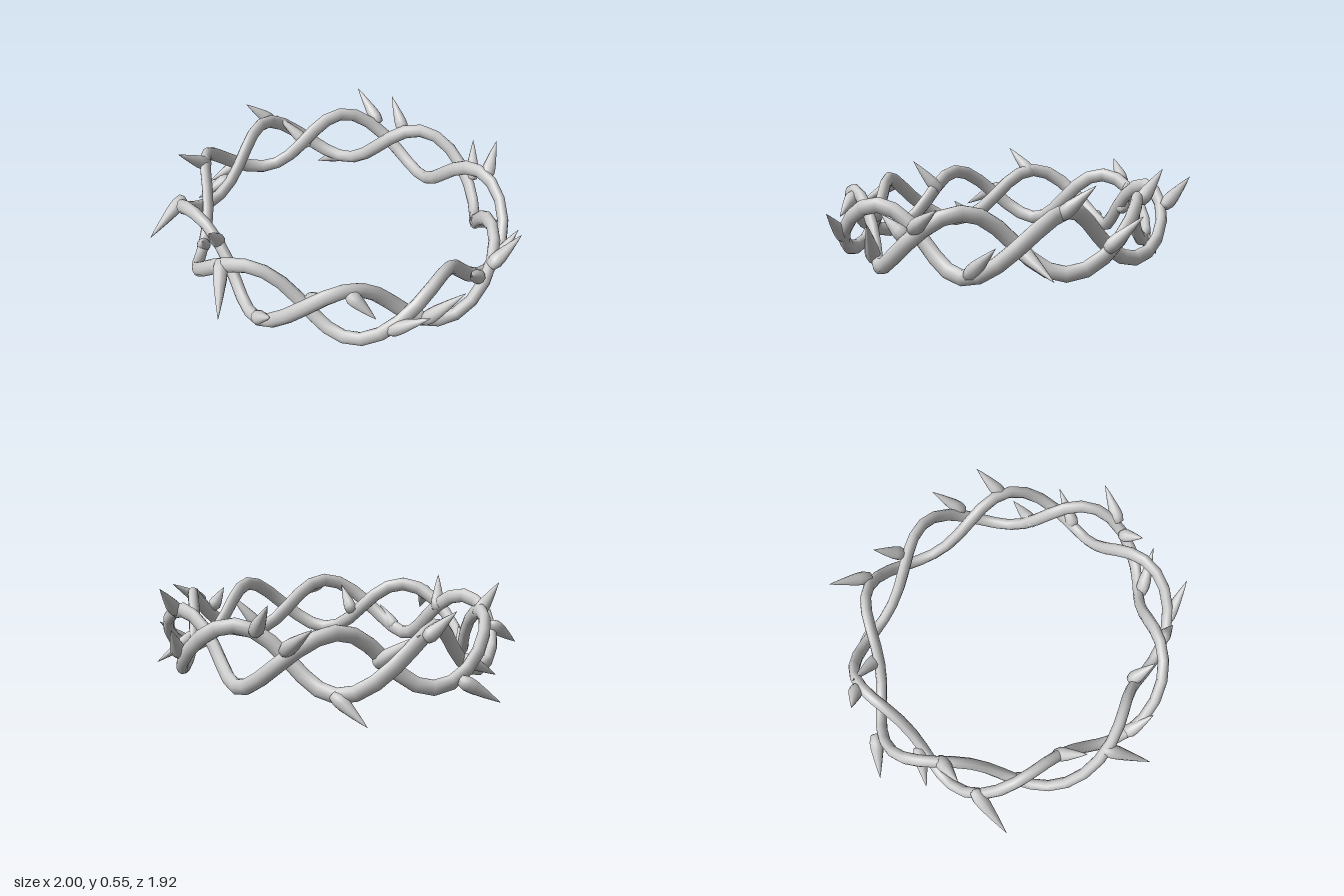
import * as THREE from 'three';

const material = new THREE.MeshStandardMaterial({ color: 0xcccccc });
const TURNS = 5, MID_Y = 0.27, SEGMENTS = 60, SIDES = 10;

// Centre line of a vine: a helix wound around an oval ring
function vinePoint(phi, sign) {
  const a = TURNS * phi;
  const radial = -sign * 0.07 * Math.sin(a);
  return new THREE.Vector3(
    0.033 + (0.832 + radial) * Math.sin(phi),
    MID_Y + sign * 0.15 * Math.cos(a),
    -0.048 + (0.77 + radial) * Math.cos(phi)
  );
}

// Closed sweep with an oval section, thinner towards the ring's middle
function createVine(sign) {
  const positions = [], index = [];
  for (let i = 0; i < SEGMENTS; i++) {
    const phi = (i / SEGMENTS) * Math.PI * 2;
    const p = vinePoint(phi, sign);
    const tangent = vinePoint(phi + 0.01, sign).sub(vinePoint(phi - 0.01, sign)).normalize();
    const out = new THREE.Vector3(Math.sin(phi), 0, Math.cos(phi));
    out.addScaledVector(tangent, -out.dot(tangent)).normalize();
    const side = new THREE.Vector3().crossVectors(tangent, out);
    for (let j = 0; j < SIDES; j++) {
      const t = (j / SIDES) * Math.PI * 2;
      const v = p.clone().addScaledVector(out, 0.03 * Math.cos(t)).addScaledVector(side, 0.04 * Math.sin(t));
      positions.push(v.x, v.y, v.z);
      const a = i * SIDES + j, b = i * SIDES + (j + 1) % SIDES;
      const c = ((i + 1) % SEGMENTS) * SIDES + j, d = ((i + 1) % SEGMENTS) * SIDES + (j + 1) % SIDES;
      index.push(a, b, c, b, d, c);
    }
  }
  const geometry = new THREE.BufferGeometry();
  geometry.setAttribute('position', new THREE.Float32BufferAttribute(positions, 3));
  geometry.setIndex(index);
  geometry.computeVertexNormals();
  return new THREE.Mesh(geometry, material);
}

// Thorn with a swollen root, from a point on a vine to its tip
function createThorn(base, tip) {
  const from = new THREE.Vector3(...base), dir = new THREE.Vector3(...tip).sub(from);
  const length = dir.length();
  const profile = [[0, -0.1], [0.028, -0.06], [0.038, 0.1], [0.035, 0.28], [0.021, 0.6], [0.009, 0.84], [0, 1]]
    .map(([r, y]) => new THREE.Vector2(r, y * length));
  const thorn = new THREE.Mesh(new THREE.LatheGeometry(profile, 10), material);
  thorn.position.copy(from);
  thorn.quaternion.setFromUnitVectors(new THREE.Vector3(0, 1, 0), dir.normalize());
  return thorn;
}

// Root and tip of each thorn, in groups around the ring
const frontThorns = [
  [[-0.1, 0.39, 0.76], [0.05, 0.24, 0.955]],
  [[0.11, 0.14, 0.75], [0.25, 0.26, 0.8]],
  [[0.32, 0.25, 0.58], [0.43, 0.39, 0.63]],
  [[-0.28, 0.33, 0.59], [-0.21, 0.5, 0.72]],
  [[-0.5, 0.13, 0.5], [-0.43, 0.24, 0.57]],
];
const leftThorns = [
  [[0.55, 0.4, 0.56], [0.69, 0.31, 0.54]],
  [[0.73, 0.22, 0.48], [0.92, 0.37, 0.43]],
  [[0.79, 0.15, 0.25], [0.95, 0.35, 0.16]],
  [[0.91, 0.3, -0.03], [0.93, 0.4, 0.09]],
  [[0.94, 0.35, -0.1], [1, 0.46, -0.27]],
  [[0.83, 0.14, -0.33], [0.88, 0.29, -0.5]],
];
const backThorns = [
  [[0.63, 0.24, -0.48], [0.7, 0.12, -0.7]],
  [[0.57, 0.41, -0.67], [0.53, 0.55, -0.82]],
  [[0.4, 0.24, -0.83], [0.31, 0.39, -0.965]],
  [[-0.08, 0.4, -0.8], [-0.21, 0.55, -0.86]],
  [[-0.3, 0.35, -0.85], [-0.5, 0.48, -0.91]],
];
const rightThorns = [
  [[-0.46, 0.12, -0.68], [-0.64, 0, -0.68]],
  [[-0.57, 0.26, -0.49], [-0.77, 0.41, -0.44]],
  [[-0.78, 0.39, -0.4], [-0.88, 0.51, -0.3]],
  [[-0.87, 0.15, -0.2], [-1, 0.03, -0.05]],
  [[-0.76, 0.2, 0.03], [-0.86, 0.1, 0.18]],
  [[-0.74, 0.41, 0.2], [-0.77, 0.55, 0.37]],
  [[-0.72, 0.3, 0.43], [-0.74, 0.17, 0.67]],
];

export function createModel() {
  const model = new THREE.Group();
  model.name = 'thornWreath';

  // Two intertwined vines
  [['firstVine', 1], ['secondVine', -1]].forEach(([name, sign]) => {
    const vine = createVine(sign);
    vine.name = name;
    model.add(vine);
  });

  // Thorns
  Object.entries({ frontThorns, leftThorns, backThorns, rightThorns }).forEach(([name, list]) => {
    const group = new THREE.Group();
    group.name = name;
    list.forEach(([base, tip]) => {
      const thorn = createThorn(base, tip);
      thorn.name = 'thorn';
      group.add(thorn);
    });
    model.add(group);
  });
  return model;
}
